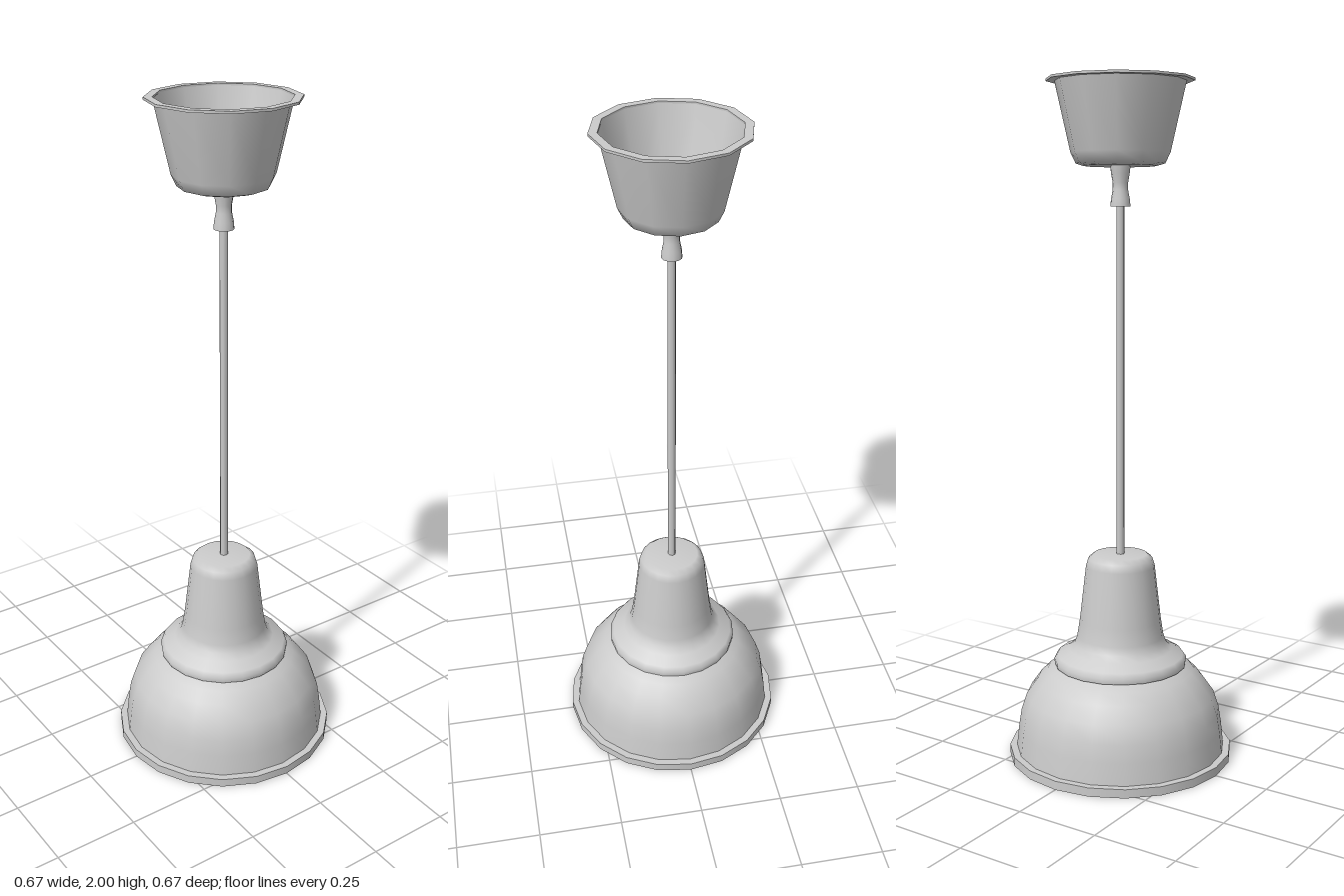
import * as THREE from 'three';

const material = new THREE.MeshStandardMaterial({ color: 0xcccccc, side: THREE.DoubleSide });

// Spins one smooth [radius, height] profile; separate profiles keep the edge between them sharp.
function spin(name, sides, ...profiles) {
  const part = new THREE.Group();
  part.name = name;
  profiles.forEach((profile, i) => {
    const points = profile.map(([r, y]) => new THREE.Vector2(r, y));
    const mesh = new THREE.Mesh(new THREE.LatheGeometry(points, sides), material);
    mesh.name = name + 'Surface' + (i + 1);
    part.add(mesh);
  });
  return part;
}

export function createModel() {
  const lamp = new THREE.Group();
  lamp.name = 'pendantLamp';

  // Open ceiling cup with a flat flange
  lamp.add(spin('ceilingCup', 12,
    [[0, 1.757], [0.105, 1.757], [0.128, 1.764], [0.143, 1.795], [0.188, 1.995]],
    [[0.188, 1.993], [0.212, 1.993]],
    [[0.212, 1.993], [0.212, 2]],
    [[0.212, 2], [0.188, 2]],
    [[0.188, 2], [0.188, 1.993]]));

  // Waisted cord grip and the cord
  lamp.add(spin('cordGrip', 12,
    [[0, 1.643], [0.029, 1.643]],
    [[0.029, 1.643], [0.027, 1.665], [0.022, 1.69], [0.022, 1.71], [0.027, 1.738], [0.029, 1.758]]));
  lamp.add(spin('cord', 8, [[0.012, 0.615], [0.012, 1.65]]));

  // Socket housing, flaring out to a collar
  lamp.add(spin('socketHousing', 20,
    [[0.198, 0.282], [0.2, 0.298], [0.19, 0.312], [0.155, 0.33], [0.138, 0.347], [0.13, 0.37],
      [0.122, 0.42], [0.103, 0.585], [0.096, 0.608], [0.08, 0.621], [0, 0.621]],
    [[0.188, 0.282], [0.198, 0.282]]));

  // Domed shade
  lamp.add(spin('shade', 20,
    [[0.315, 0.026], [0.308, 0.09], [0.3, 0.14], [0.283, 0.19], [0.25, 0.236], [0.22, 0.266], [0.188, 0.282]]));

  // Rim lip around the shade opening
  lamp.add(spin('shadeRim', 20,
    [[0.315, 0], [0.336, 0]],
    [[0.336, 0], [0.336, 0.026]],
    [[0.336, 0.026], [0.315, 0.026]],
    [[0.315, 0.026], [0.315, 0]]));

  // Bulb inside the shade, with its holder
  lamp.add(spin('bulb', 8,
    [[0, 0.03], [0.036, 0.038], [0.062, 0.07], [0.07, 0.105], [0.058, 0.145], [0.038, 0.195], [0.034, 0.25]]));
  lamp.add(spin('bulbHolder', 12, [[0, 0.25], [0.045, 0.25]], [[0.045, 0.25], [0.045, 0.4]], [[0.045, 0.4], [0, 0.4]]));

  return lamp;
}
